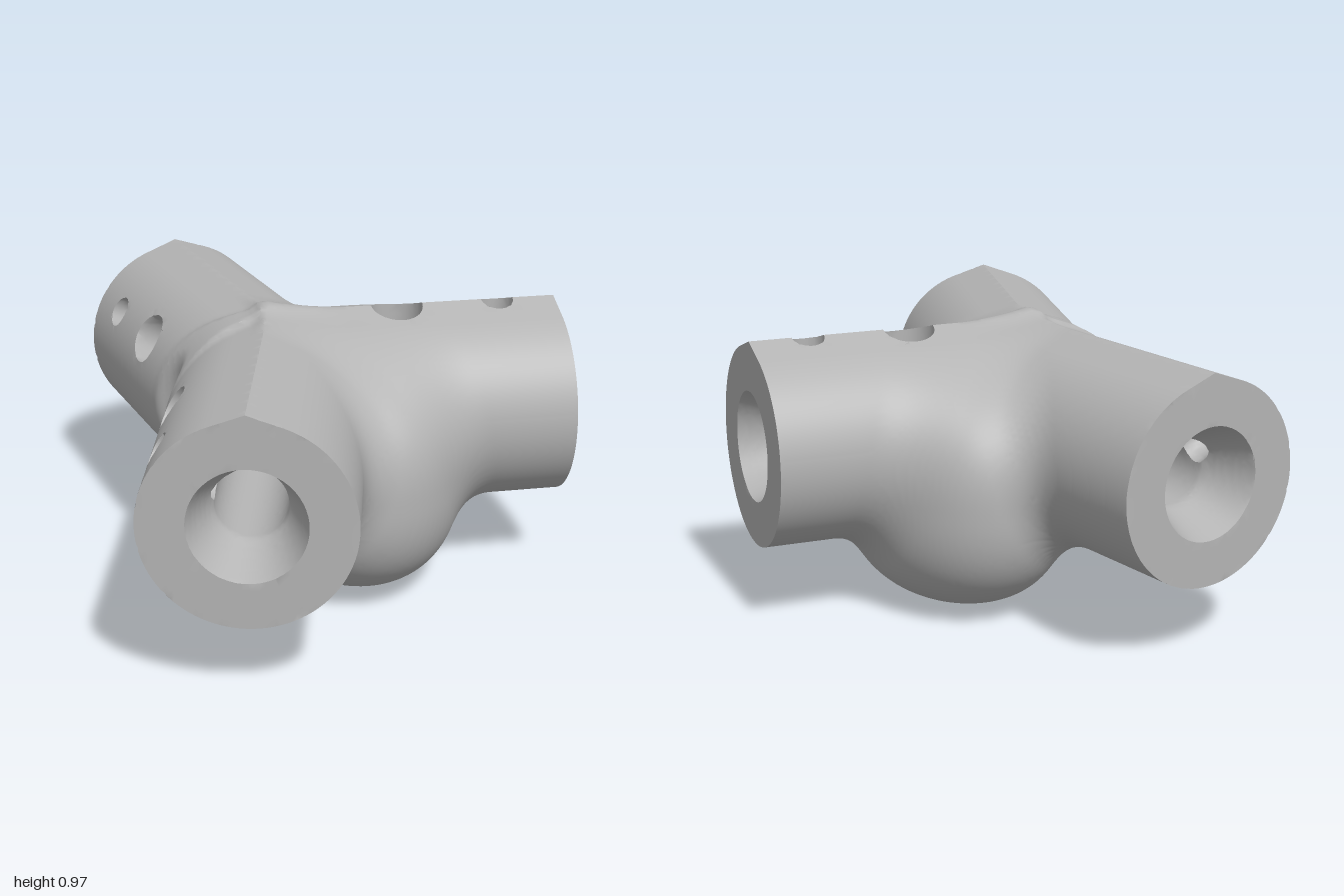
import * as THREE from 'three';
import { toCreasedNormals } from 'three/addons/utils/BufferGeometryUtils.js';

// Three pipe sockets blended around a rounded hub, described as a distance field
const AXIS_Y = 0.585, HUB_X = -0.23, RADIUS = 0.335, BORE_DEPTH = 0.7;
const TILT = Math.PI / 3, SIDE = 0.223, LONG = Math.sqrt(1 - SIDE * SIDE);
const ARMS = [
  { dx: -SIDE, dz: LONG, length: 0.95, tilt: TILT, holes: [[0.75, 0.055], [0.43, 0.088]] },
  { dx: -SIDE, dz: -LONG, length: 0.95, tilt: -TILT, holes: [[0.75, 0.055], [0.43, 0.088]] },
  { dx: 1, dz: 0, length: 0.99, tilt: 0, holes: [[0.79, 0.055], [0.44, 0.088]] },
];

function smoothMin(a, b, k) {
  const h = Math.max(k - Math.abs(a - b), 0) / k;
  return Math.min(a, b) - h * h * k / 4;
}

// Circle with a pointed roof
function teardrop(a, b, r, apex) {
  const c = r / apex, s = Math.sqrt(1 - c * c), w = Math.abs(a);
  return b > 0 && w * c < b * s ? w * s + b * c - r : Math.hypot(a, b) - r;
}

function hub(x, y, z) {
  const flat = Math.hypot((x - 0.05) / 0.38, z / 0.54);
  const up = Math.abs(y - 0.42) / 0.42;
  return (Math.pow(Math.pow(flat, 2.5) + Math.pow(up, 2.5), 0.4) - 1) * 0.42;
}

function field(x, y, z) {
  let body = 0, ends = -1, cut = 1;
  ARMS.forEach((arm, i) => {
    // Local axes: s along the arm, a sideways, b up
    const px = x - HUB_X, b = y - AXIS_Y;
    const s = px * arm.dx + z * arm.dz;
    const a = -px * arm.dz + z * arm.dx;
    const tube = Math.max(teardrop(a, b, RADIUS, 0.355), -s);
    body = i === 0 ? tube : smoothMin(body, tube, 0.08);
    ends = Math.max(ends, s - arm.length);
    // Flared mouth and teardrop bore
    const depth = arm.length - s;
    const bore = Math.max(teardrop(a, b, 0.115, 0.16), depth - BORE_DEPTH);
    const flare = Math.max((Math.hypot(a, b) - 0.185 + 0.4 * depth) * 0.93, depth - 0.4);
    cut = Math.min(cut, bore, flare);
    // Screw holes running from the surface to the bore
    const sn = Math.sin(arm.tilt), cs = Math.cos(arm.tilt);
    const out = a * sn + b * cs, across = a * cs - b * sn;
    for (const [at, r] of arm.holes) {
      cut = Math.min(cut, Math.max(Math.hypot(s - at, across) - r, -out));
    }
  });
  body = smoothMin(body, hub(x, y, z), 0.12);
  // Soft notch between the two side arms
  const notch = Math.hypot(x + 0.65, z) - 0.12;
  body = -smoothMin(-body, notch, 0.03);
  return Math.max(body, ends, -cut);
}

function gradient(p) {
  const e = 5e-4, [x, y, z] = p;
  const g = [
    field(x + e, y, z) - field(x - e, y, z),
    field(x, y + e, z) - field(x, y - e, z),
    field(x, y, z + e) - field(x, y, z - e),
  ];
  const l = Math.hypot(...g) || 1;
  return g.map((v) => v / l);
}

// Dual contouring: one vertex per surface cell, pulled onto sharp edges
function contour(min, max, h) {
  const n = min.map((v, i) => Math.ceil((max[i] - v) / h) + 1);
  const stride = [1, n[0], n[0] * n[1]];
  const values = new Float32Array(n[0] * n[1] * n[2]);
  const at = (i, j, k) => [min[0] + i * h, min[1] + j * h, min[2] + k * h];
  for (let k = 0, q = 0; k < n[2]; k++)
    for (let j = 0; j < n[1]; j++)
      for (let i = 0; i < n[0]; i++) values[q++] = field(...at(i, j, k));

  // Surface crossings on grid edges, shared out to the four cells around each
  const cells = new Map(), quads = [];
  for (let k = 1; k < n[2] - 1; k++)
    for (let j = 1; j < n[1] - 1; j++)
      for (let i = 1; i < n[0] - 1; i++) {
        const q = i + j * stride[1] + k * stride[2];
        for (let d = 0; d < 3; d++) {
          const inside = values[q] < 0;
          if (inside === values[q + stride[d]] < 0) continue;
          const start = at(i, j, k), p = start.slice();
          let lo = 0, hi = 1;
          for (let t = 0; t < 9; t++) {
            const mid = (lo + hi) / 2;
            p[d] = start[d] + mid * h;
            if (field(...p) < 0 === inside) lo = mid; else hi = mid;
          }
          const hit = { p, g: gradient(p) };
          const u = stride[(d + 1) % 3], v = stride[(d + 2) % 3];
          const ring = [q, q - u, q - u - v, q - v];
          for (const c of ring) {
            if (!cells.has(c)) cells.set(c, { hits: [] });
            cells.get(c).hits.push(hit);
          }
          quads.push(inside ? ring : ring.reverse());
        }
      }

  const positions = [], indices = [];
  for (const [c, cell] of cells) {
    const { hits } = cell;
    const v = [0, 1, 2].map((d) => hits.reduce((sum, o) => sum + o.p[d], 0) / hits.length);
    const low = at(c % n[0], Math.floor(c / n[0]) % n[1], Math.floor(c / stride[2]));
    for (let step = 0; step < 25; step++) {
      const move = [0, 0, 0];
      for (const { p, g } of hits) {
        const off = g[0] * (p[0] - v[0]) + g[1] * (p[1] - v[1]) + g[2] * (p[2] - v[2]);
        for (let d = 0; d < 3; d++) move[d] += g[d] * off / hits.length;
      }
      for (let d = 0; d < 3; d++) v[d] = Math.min(Math.max(v[d] + move[d], low[d]), low[d] + h);
    }
    cell.index = positions.length / 3;
    positions.push(...v);
  }
  for (const ring of quads) {
    const [a, b, c, d] = ring.map((r) => cells.get(r).index);
    indices.push(a, b, c, a, c, d);
  }
  const geometry = new THREE.BufferGeometry();
  geometry.setAttribute('position', new THREE.Float32BufferAttribute(positions, 3));
  geometry.setIndex(indices);
  return toCreasedNormals(geometry, 0.6);
}

export function createModel() {
  const group = new THREE.Group();
  group.name = 'threeWayPipeJoint';
  const grey = new THREE.MeshStandardMaterial({ color: 0xb4b4b4 });
  grey.name = 'plain grey';
  const joint = new THREE.Mesh(contour([-0.813, -0.047, -1.053], [0.82, 1.03, 1.053], 0.018), grey);
  joint.name = 'jointBody';
  group.add(joint);
  return group;
}
